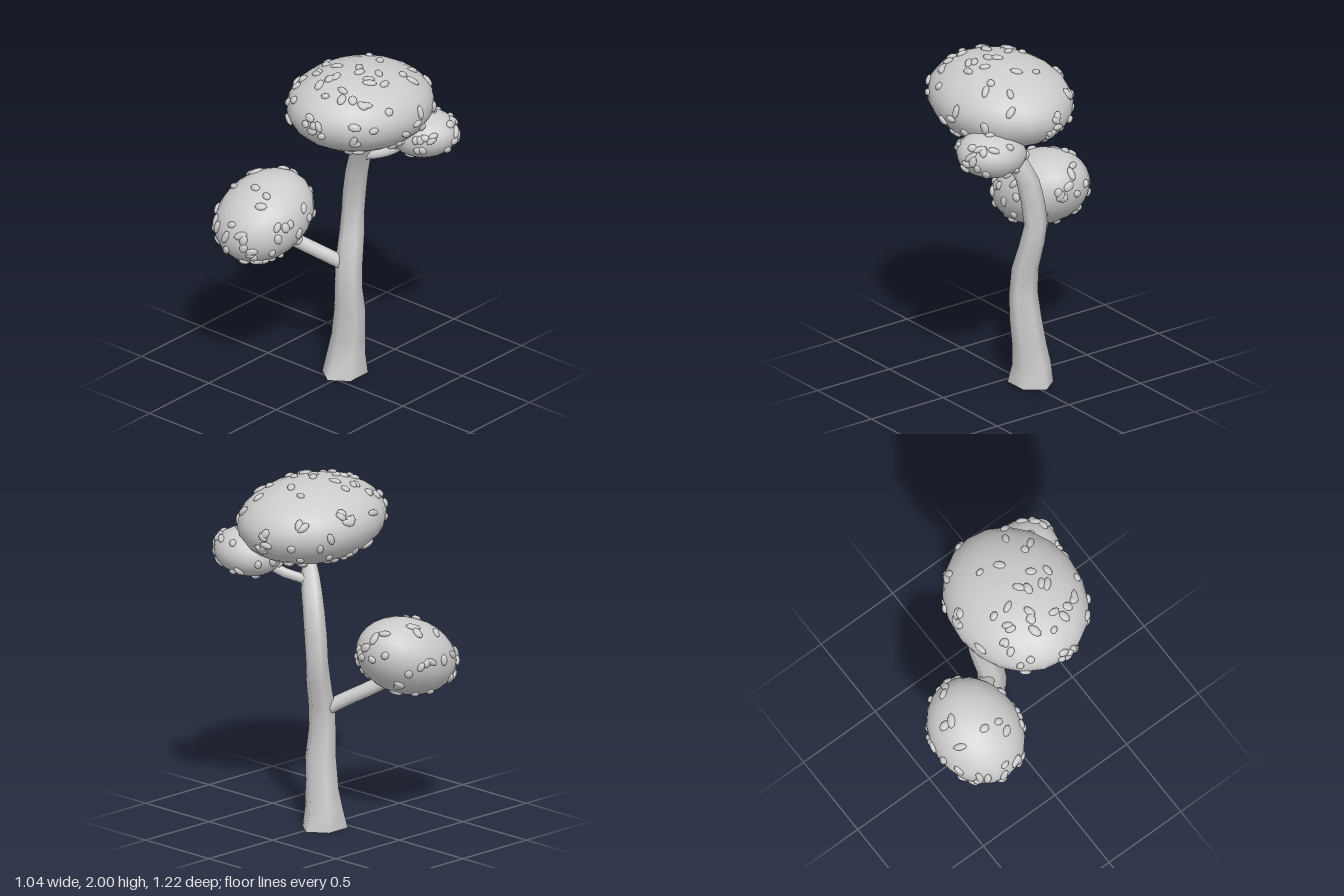
import * as THREE from 'three';
import { mergeGeometries } from 'three/addons/utils/BufferGeometryUtils.js';

const material = new THREE.MeshStandardMaterial({ color: 0xcccccc });

// Small seeded generator so the bumps always land in the same places
function seeded(seed) {
  let s = seed;
  return () => (s = (s * 16807) % 2147483647) / 2147483647;
}

function addMesh(parent, geometry, name) {
  const mesh = new THREE.Mesh(geometry, material);
  mesh.name = name;
  parent.add(mesh);
  return mesh;
}

// Smooth six-sided loft through level rings [x, y, z, radiusX, radiusZ], with flat ends
function loft(rings, sides = 6) {
  const positions = [], index = [];
  for (const [x, y, z, rx, rz] of rings) {
    for (let i = 0; i < sides; i++) {
      const a = (i / sides) * Math.PI * 2;
      positions.push(x + Math.cos(a) * rx, y, z + Math.sin(a) * rz);
    }
  }
  for (let r = 0; r < rings.length - 1; r++) {
    for (let i = 0; i < sides; i++) {
      const a = r * sides + i, b = r * sides + (i + 1) % sides;
      index.push(a, a + sides, b, b, a + sides, b + sides);
    }
  }
  const body = new THREE.BufferGeometry();
  body.setAttribute('position', new THREE.Float32BufferAttribute(positions, 3));
  body.setIndex(index);
  body.computeVertexNormals();

  // Separate foot polygon keeps the bottom edge sharp
  const foot = new THREE.BufferGeometry();
  foot.setAttribute('position', new THREE.Float32BufferAttribute(positions.slice(0, sides * 3), 3));
  const fan = [];
  for (let i = 1; i < sides - 1; i++) fan.push(0, i, i + 1);
  foot.setIndex(fan);
  foot.computeVertexNormals();
  return mergeGeometries([body, foot]);
}

function branch(points, radius) {
  const curve = new THREE.CatmullRomCurve3(points.map(p => new THREE.Vector3(...p)));
  return new THREE.TubeGeometry(curve, 8, radius, 8);
}

// Ellipsoid foliage crown covered in oval bumps lying along its surface
function crown(name, center, radii, rotation, count, seed) {
  const group = new THREE.Group();
  group.name = name;
  group.position.set(...center);
  group.rotation.set(...rotation);

  const [a, b, c] = radii;
  addMesh(group, new THREE.SphereGeometry(1, 20, 14).scale(a, b, c), name + 'Body');

  const rand = seeded(seed);
  const up = new THREE.Vector3(0, 1, 0);
  const minRadius = Math.min(a, b, c);
  const bumps = [];
  while (bumps.length < count) {
    const v = rand() * 2 - 1, t = rand() * Math.PI * 2, s = Math.sqrt(1 - v * v);
    const dir = new THREE.Vector3(s * Math.cos(t), v, s * Math.sin(t));
    const normal = new THREE.Vector3(dir.x / a, dir.y / b, dir.z / c);
    // Keep the spread even over the stretched surface
    if (rand() > normal.length() * minRadius) continue;
    normal.normalize();
    const spin = new THREE.Quaternion().setFromAxisAngle(up, rand() * Math.PI * 2);
    const turn = new THREE.Quaternion().setFromUnitVectors(up, normal).multiply(spin);
    const size = new THREE.Vector3(0.024 + rand() * 0.02, 0.016, 0.018 + rand() * 0.007);
    const place = new THREE.Vector3(dir.x * a, dir.y * b, dir.z * c);
    bumps.push(new THREE.SphereGeometry(1, 8, 6)
      .applyMatrix4(new THREE.Matrix4().compose(place, turn, size)));
  }
  addMesh(group, mergeGeometries(bumps), name + 'Bumps');
  return group;
}

export function createModel() {
  const tree = new THREE.Group();
  tree.name = 'tree';

  // Flared foot, gentle S-bend, tapering into the top crown
  addMesh(tree, loft([
    [0.11, 0.00, -0.025, 0.150, 0.120],
    [0.12, 0.12, -0.025, 0.110, 0.108],
    [0.12, 0.23, -0.010, 0.090, 0.100],
    [0.11, 0.40, 0.010, 0.083, 0.093],
    [0.095, 0.55, 0.013, 0.070, 0.085],
    [0.105, 0.70, 0.008, 0.072, 0.080],
    [0.145, 0.85, -0.008, 0.070, 0.073],
    [0.168, 0.98, -0.019, 0.059, 0.069],
    [0.162, 1.12, -0.002, 0.060, 0.070],
    [0.150, 1.25, 0.025, 0.057, 0.069],
    [0.120, 1.36, 0.072, 0.050, 0.068],
    [0.085, 1.44, 0.118, 0.042, 0.060],
    [0.055, 1.51, 0.155, 0.032, 0.042],
    [0.030, 1.60, 0.180, 0.026, 0.034],
  ]), 'trunk');

  addMesh(tree, branch([
    [0.11, 0.67, 0.0], [0.03, 0.735, -0.09], [-0.06, 0.81, -0.21], [-0.14, 0.88, -0.31],
  ], 0.043), 'lowerBranch');
  addMesh(tree, branch([
    [0.10, 1.40, 0.10], [0.125, 1.415, 0.17], [0.18, 1.445, 0.25], [0.25, 1.52, 0.34],
  ], 0.03), 'upperBranch');

  tree.add(crown('topCrown', [0.05, 1.75, 0.14], [0.45, 0.232, 0.385], [0, 0, -0.06], 100, 71));
  tree.add(crown('lowerCrown', [-0.215, 0.995, -0.34], [0.315, 0.215, 0.26], [0, 0, 0.38], 60, 1234));
  tree.add(crown('smallCrown', [0.30, 1.56, 0.39], [0.183, 0.133, 0.205], [-0.12, 0, 0], 38, 909));
  return tree;
}
